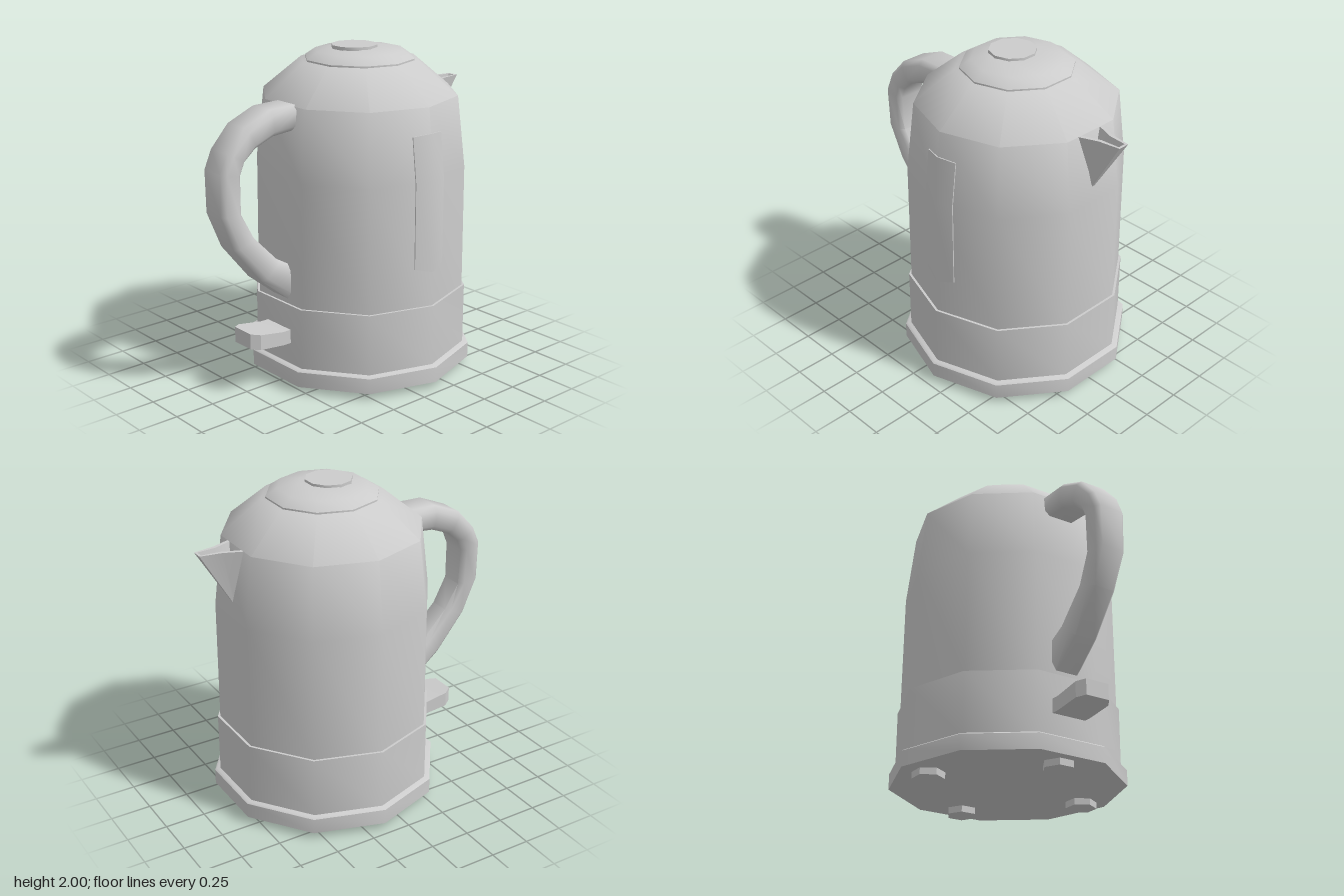
import * as THREE from 'three';
import { toCreasedNormals } from 'three/addons/utils/BufferGeometryUtils.js';

const AXIS_Z = -0.14; // the round body sits behind the origin, the handle in front
const SIDES = 10;
const grey = new THREE.MeshStandardMaterial({ color: 0xcccccc });
const greyDouble = new THREE.MeshStandardMaterial({ color: 0xcccccc, side: THREE.DoubleSide });

// Ten-sided turned part from [radius, y] pairs, with corners on the x axis
function turned(name, points, z = AXIS_Z) {
  const profile = points.map(([r, y]) => new THREE.Vector2(r, y));
  const geometry = new THREE.LatheGeometry(profile, SIDES, Math.PI / SIDES);
  const mesh = new THREE.Mesh(toCreasedNormals(geometry, 0.85), grey);
  mesh.name = name;
  mesh.position.z = z;
  return mesh;
}

// Skin over equal-length closed rings of [x, y, z], with both ends capped
function loft(name, rings, crease, material = grey) {
  const n = rings[0].length;
  const pos = rings.flat(2);
  const tris = [];
  for (let i = 0; i < rings.length - 1; i++) {
    for (let j = 0; j < n; j++) {
      const a = i * n + j, b = i * n + (j + 1) % n;
      tris.push([a, b, b + n], [a, b + n, a + n]);
    }
  }
  const last = (rings.length - 1) * n;
  for (let j = 1; j < n - 1; j++) {
    tris.push([0, j + 1, j], [last, last + j, last + j + 1]);
  }
  // Turn the faces outward if the enclosed volume comes out negative
  const p = (i) => new THREE.Vector3().fromArray(pos, i * 3);
  const volume = tris.reduce((s, [a, b, c]) => s + p(a).dot(p(b).cross(p(c))), 0);
  if (volume < 0) tris.forEach((t) => t.reverse());
  const geometry = new THREE.BufferGeometry();
  geometry.setAttribute('position', new THREE.Float32BufferAttribute(pos, 3));
  geometry.setIndex(tris.flat());
  const mesh = new THREE.Mesh(toCreasedNormals(geometry, crease), material);
  mesh.name = name;
  return mesh;
}

// Chamfered handle section between an outer and an inner point, each [z, y]
function handleRing([oz, oy, iz, iy, w]) {
  const section = [
    [-0.72, 0], [0.72, 0], [1, 0.2], [1, 0.8], [0.72, 1], [-0.72, 1], [-1, 0.8], [-1, 0.2],
  ];
  return section.map(([u, t]) => [u * w, oy + (iy - oy) * t, oz + (iz - oz) * t]);
}

// Spout outline at one height: wide at the body, narrow at the lip
function spoutRing(y, back, mid, tip, wBack, wMid, wTip) {
  return [
    [wBack, y, back], [wMid, y, mid], [wTip, y, tip],
    [-wTip, y, tip], [-wMid, y, mid], [-wBack, y, back],
  ];
}

export function createModel() {
  const kettle = new THREE.Group();
  kettle.name = 'kettle';

  // Base plate, lower band, vessel, lid and lid button
  kettle.add(
    turned('basePlate', [[0, 0.04], [0.705, 0.04], [0.705, 0.135], [0.69, 0.145], [0, 0.145]]),
    turned('lowerBand', [[0, 0.14], [0.67, 0.14], [0.67, 0.52], [0, 0.52]]),
    turned('vessel', [[0.655, 0.5], [0.65, 1.28], [0.6, 1.71], [0.36, 1.91], [0, 1.91]]),
    turned('lid', [[0.335, 1.9], [0.335, 1.92], [0.27, 1.965], [0.14, 1.985], [0, 1.985]]),
    turned('lidButton', [[0.14, 1.97], [0.14, 2], [0, 2]], -0.1),
  );

  // Four six-sided feet
  for (let i = 0; i < 4; i++) {
    const angle = (i * Math.PI) / 2;
    const foot = new THREE.Mesh(
      toCreasedNormals(new THREE.CylinderGeometry(0.095, 0.095, 0.05, 6), 0.5), grey);
    foot.name = 'foot';
    foot.position.set(Math.sin(angle) * 0.53, 0.025, AXIS_Z + Math.cos(angle) * 0.53);
    foot.rotation.y = angle + Math.PI / 2;
    kettle.add(foot);
  }

  // Handle: outer z, y, inner z, y, half width
  const handleStations = [
    [0.41, 1.72, 0.41, 1.575, 0.11],
    [0.6, 1.715, 0.585, 1.56, 0.11],
    [0.78, 1.64, 0.71, 1.51, 0.109],
    [0.9, 1.51, 0.785, 1.445, 0.107],
    [0.95, 1.4, 0.815, 1.37, 0.104],
    [0.95, 1.15, 0.81, 1.14, 0.095],
    [0.86, 0.93, 0.72, 0.98, 0.087],
    [0.67, 0.7, 0.55, 0.805, 0.093],
    [0.47, 0.54, 0.44, 0.75, 0.1],
  ];
  kettle.add(loft('handle', handleStations.map(handleRing), 0.9));

  // Spout: an open cup, skinned up the outside and down the inside
  kettle.add(loft('spout', [
    spoutRing(1.37, -0.7, -0.73, -0.745, 0.02, 0.015, 0.01),
    spoutRing(1.71, -0.67, -0.82, -0.95, 0.115, 0.055, 0.035),
    spoutRing(1.71, -0.68, -0.82, -0.935, 0.085, 0.033, 0.024),
    spoutRing(1.45, -0.69, -0.74, -0.77, 0.012, 0.01, 0.008),
  ], 0.5, greyDouble));

  // Water level window folded round the side corner: y, corner x, y shift of the ends
  const windowRing = ([y, x, shift]) => [
    [x, y, AXIS_Z],
    [x - 0.037, y + shift, AXIS_Z + 0.112],
    [x - 0.1, y + shift, AXIS_Z + 0.112],
    [x - 0.1, y + shift, AXIS_Z - 0.112],
    [x - 0.037, y + shift, AXIS_Z - 0.112],
  ];
  kettle.add(loft('waterWindow',
    [[0.73, 0.66, 0.03], [1.28, 0.657, 0], [1.56, 0.625, -0.01]].map(windowRing), 0.7));

  // Power switch lever: z, half width, bottom, top
  const leverRing = ([z, w, y0, y1]) => [[-w, y0, z], [w, y0, z], [w, y1, z], [-w, y1, z]];
  kettle.add(loft('switchLever', [
    [0.46, 0.11, 0.28, 0.365], [0.55, 0.11, 0.28, 0.365],
    [0.72, 0.11, 0.298, 0.392], [0.77, 0.075, 0.305, 0.4],
  ].map(leverRing), 0.4));

  return kettle;
}
